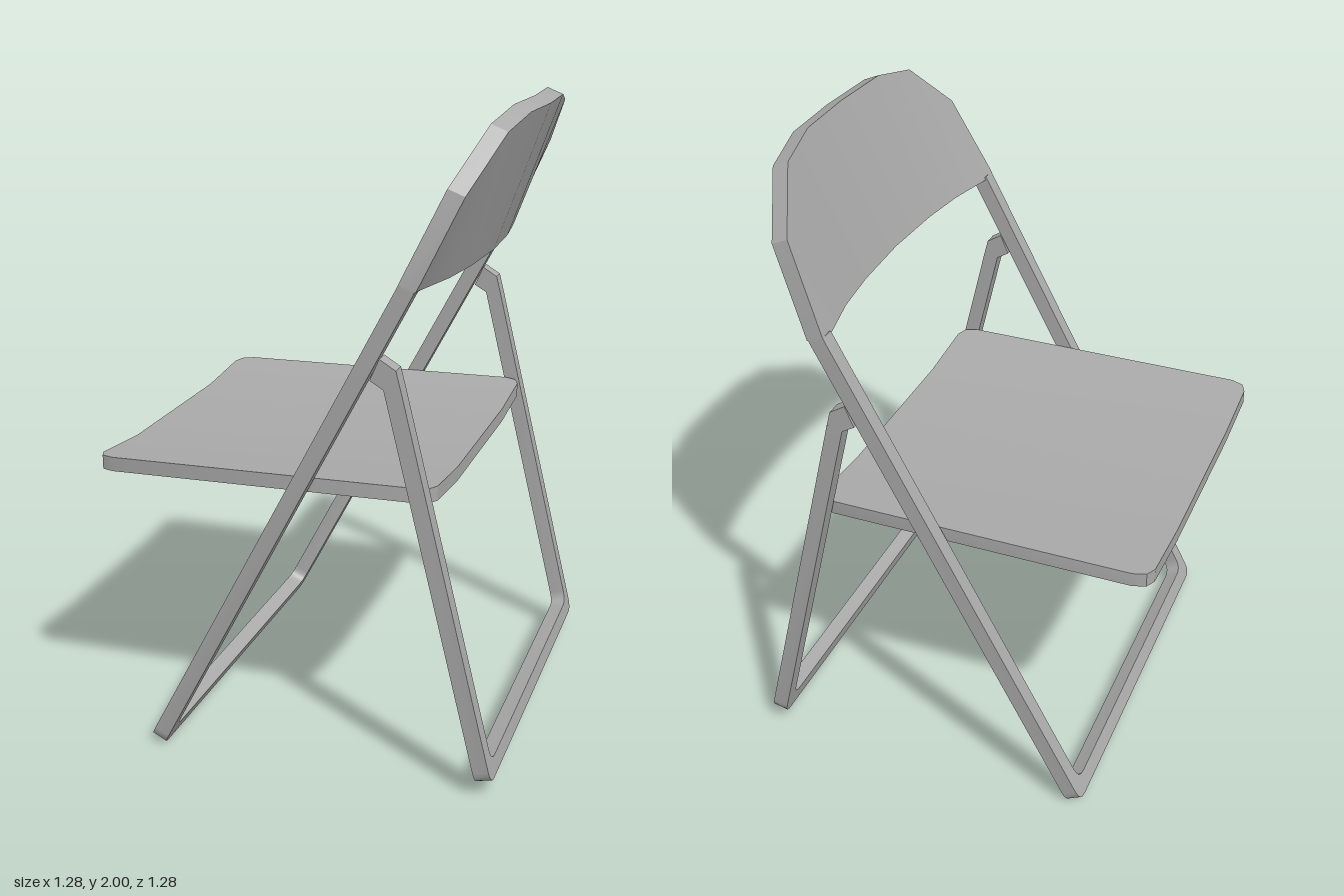
import * as THREE from 'three';
import { toCreasedNormals } from 'three/addons/utils/BufferGeometryUtils.js';

const HALF = 0.64; // half width of the frame
const T = 0.05;    // thickness of the square bar

// Skin a row of four-cornered sections, ordered by increasing z
function loft(sections) {
  const pos = sections.flat(2);
  const index = [];
  for (let i = 0; i < sections.length - 1; i++) {
    for (let j = 0; j < 4; j++) {
      const a = i * 4 + j, b = i * 4 + (j + 1) % 4;
      index.push(a, b, b + 4, a, b + 4, a + 4);
    }
  }
  const e = (sections.length - 1) * 4;
  index.push(0, 2, 1, 0, 3, 2, e, e + 1, e + 2, e, e + 2, e + 3);
  const g = new THREE.BufferGeometry();
  g.setAttribute('position', new THREE.Float32BufferAttribute(pos, 3));
  g.setIndex(index);
  return toCreasedNormals(g, 0.4);
}

// Repeat half of a row (centre outwards) on both sides
function mirrored(half) {
  return [...half.slice(1).reverse().map(([z, ...r]) => [-z, ...r]), ...half];
}

// U-shaped frame of square bar, leaning from one point to another
function uFrame(x0, y0, x1, y1) {
  const dir = new THREE.Vector3(x1 - x0, y1 - y0, 0);
  const len = dir.length();
  dir.normalize();
  const w = HALF, i = HALF - T, r = 0.04;
  const s = new THREE.Shape();
  s.moveTo(-w, len);
  s.lineTo(-w, r);
  s.quadraticCurveTo(-w, 0, -w + r, 0);
  s.lineTo(w - r, 0);
  s.quadraticCurveTo(w, 0, w, r);
  s.lineTo(w, len);
  s.lineTo(i, len);
  s.lineTo(i, T + r);
  s.quadraticCurveTo(i, T, i - r, T);
  s.lineTo(-i + r, T);
  s.quadraticCurveTo(-i, T, -i, T + r);
  s.lineTo(-i, len);
  s.closePath();
  const g = new THREE.ExtrudeGeometry(s, { depth: T, bevelEnabled: false, curveSegments: 4 });
  g.translate(0, 0, -T / 2);
  const side = new THREE.Vector3(0, 0, 1);
  const normal = new THREE.Vector3().crossVectors(side, dir);
  g.applyMatrix4(new THREE.Matrix4().makeBasis(side, dir, normal).setPosition(x0, y0, 0));
  return toCreasedNormals(g, 0.6);
}

export function createModel() {
  const group = new THREE.Group();
  const grey = new THREE.MeshStandardMaterial({ color: 0xaaaaaa });
  grey.name = 'grey';
  const add = (name, geometry) => {
    const m = new THREE.Mesh(geometry, grey);
    m.name = name;
    group.add(m);
    return m;
  };

  // Long frame carrying the backrest, and the shorter rear leg frame
  add('mainFrame', uFrame(-0.447, 0.012, 0.358, 1.537));
  add('rearLegFrame', uFrame(0.612, 0.053, 0.32, 1.252));

  // Bent tips joining the rear legs to the main frame
  const tip = new THREE.Shape([
    [0.296, 1.246], [0.344, 1.258], [0.332, 1.305], [0.283, 1.335], [0.255, 1.27],
  ].map(([x, y]) => new THREE.Vector2(x, y)));
  for (const [name, z] of [['leftHinge', HALF - T], ['rightHinge', -HALF]]) {
    const g = new THREE.ExtrudeGeometry(tip, { depth: T, bevelEnabled: false });
    add(name, g).position.z = z;
  }

  // Dished seat with trimmed corners: z, front x, back x
  const seat = mirrored([
    [0, -0.64, 0.43], [0.3, -0.64, 0.43], [0.535, -0.64, 0.43],
    [0.57, -0.625, 0.415], [0.585, -0.585, 0.375],
  ]);
  add('seat', loft(seat.map(([z, x0, x1]) => {
    const y = (x) => 0.86 + (x + 0.64) * 0.0125 + Math.max(0, Math.abs(z) - 0.3) * 0.09;
    return [[x0, y(x0), z], [x1, y(x1), z], [x1, y(x1) + 0.045, z], [x0, y(x0) + 0.045, z]];
  })));

  // Curved backrest: z, lower front x, upper front x, upper y
  const back = mirrored([
    [0, 0.405, 0.565, 2.0], [0.24, 0.395, 0.555, 2.0], [0.415, 0.375, 0.53, 1.965],
    [0.585, 0.338, 0.455, 1.81], [HALF, 0.33, 0.337, 1.553],
  ]);
  add('backrest', loft(back.map(([z, xb, xt, yt]) => [
    [xb, 1.537, z], [xb + 0.048, 1.527, z], [xt + 0.05, yt - 0.02, z], [xt, yt, z],
  ])));

  return group;
}
